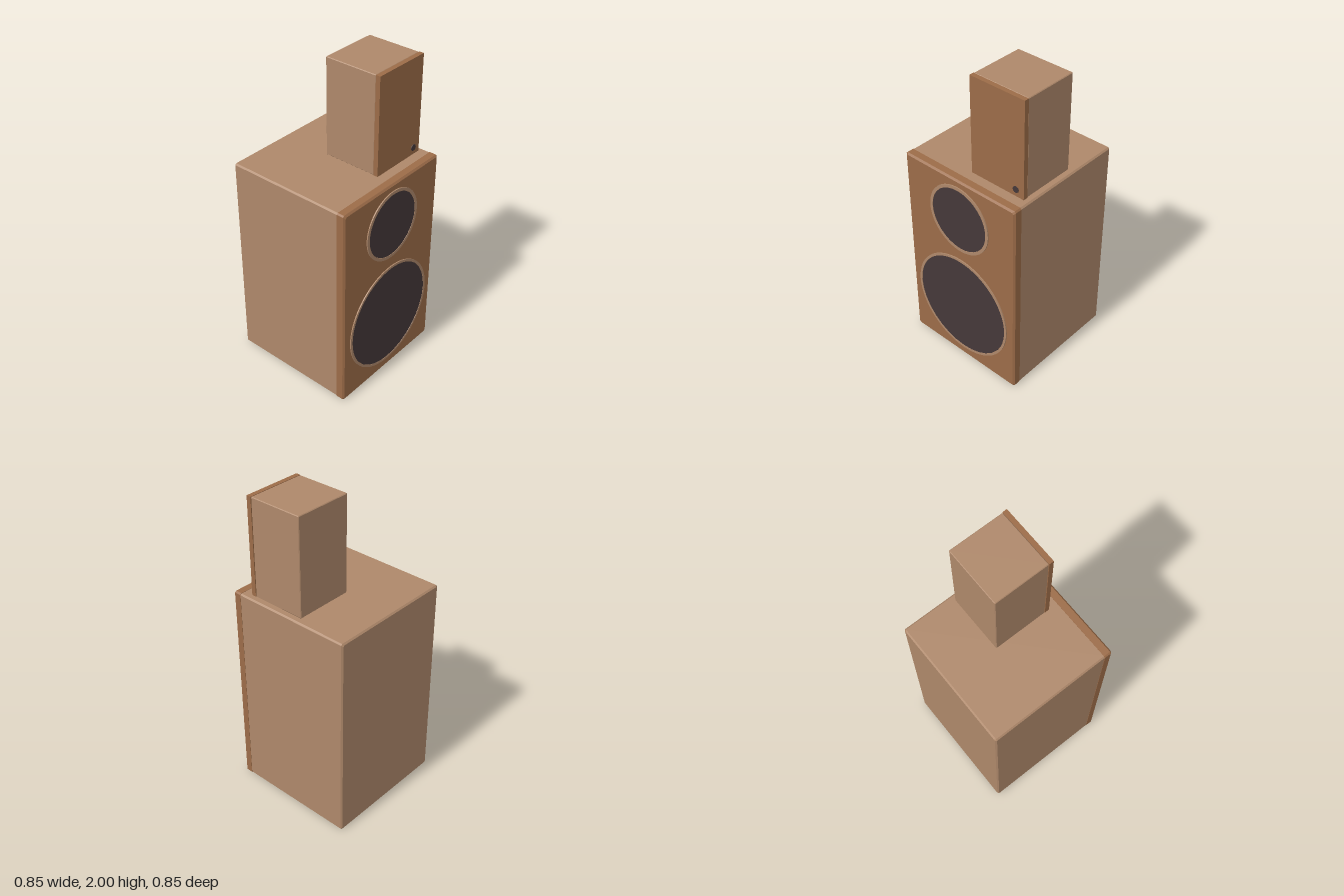
import * as THREE from 'three';

const paint = (color) => new THREE.MeshStandardMaterial({ color });
const lightWood = paint(0xae886a);
const darkWood = paint(0x9c6c48);
const coneGrey = paint(0x453839);

// Box with cut corners, lofted along z; each section is [z, inset]
function chamferBox(x0, x1, y0, y1, cut, sections) {
  const rings = sections.map(([z, inset]) => {
    const l = x0 + inset, r = x1 - inset, b = y0 + inset, t = y1 - inset;
    return [
      [r, b + cut, z], [r, t - cut, z], [r - cut, t, z], [l + cut, t, z],
      [l, t - cut, z], [l, b + cut, z], [l + cut, b, z], [r - cut, b, z],
    ];
  });
  const pos = [];
  const tri = (a, b, c) => pos.push(...a, ...b, ...c);
  for (let k = 0; k + 1 < rings.length; k++) {
    const A = rings[k], B = rings[k + 1];
    for (let i = 0; i < 8; i++) {
      const j = (i + 1) % 8;
      tri(A[i], A[j], B[j]);
      tri(A[i], B[j], B[i]);
    }
  }
  const back = rings[0], front = rings[rings.length - 1];
  for (let i = 1; i < 7; i++) {
    tri(back[0], back[i + 1], back[i]);
    tri(front[0], front[i], front[i + 1]);
  }
  const geo = new THREE.BufferGeometry();
  geo.setAttribute('position', new THREE.Float32BufferAttribute(pos, 3));
  geo.computeVertexNormals();
  return geo;
}

// Short disc facing the front
function disc(radius, x, y, z0, z1, segments = 32) {
  return new THREE.CylinderGeometry(radius, radius, z1 - z0, segments)
    .rotateX(Math.PI / 2)
    .translate(x, y, (z0 + z1) / 2);
}

// Flat ring with thickness, facing the front
function ring(outer, inner, y, z0, z1) {
  const shape = new THREE.Shape().absarc(0, 0, outer, 0, Math.PI * 2);
  shape.holes.push(new THREE.Path().absarc(0, 0, inner, 0, Math.PI * 2, true));
  return new THREE.ExtrudeGeometry(shape, { depth: z1 - z0, bevelEnabled: false, curveSegments: 32 })
    .translate(0, y, z0);
}

export function createModel() {
  const model = new THREE.Group();
  model.name = 'stackedSpeakers';
  const add = (name, geometry, material) => {
    const mesh = new THREE.Mesh(geometry, material);
    mesh.name = name;
    model.add(mesh);
  };

  // Large cabinet and its front baffle
  add('cabinet', chamferBox(-0.422, 0.422, 0.002, 1.372, 0.009,
    [[-0.423, 0.009], [-0.414, 0], [0.361, 0]]), lightWood);
  add('frontBaffle', chamferBox(-0.424, 0.424, 0, 1.374, 0.009,
    [[0.361, 0], [0.405, 0], [0.415, 0.011]]), darkWood);

  // Two drivers: rim and cone
  for (const [name, y, outer, inner] of [['woofer', 0.43, 0.366, 0.35], ['midrange', 1.1, 0.23, 0.21]]) {
    add(name + 'Rim', ring(outer, inner, y, 0.41, 0.422), lightWood);
    add(name + 'Cone', disc(inner, 0, y, 0.41, 0.42), coneGrey);
  }

  // Small box on top with its front panel
  add('topBox', chamferBox(0.001, 0.384, 1.373, 2, 0.004,
    [[-0.084, 0.004], [-0.08, 0], [0.266, 0], [0.27, 0.004]]), lightWood);
  add('topPanel', new THREE.BoxGeometry(0.386, 0.626, 0.03).translate(0.193, 1.687, 0.285), darkWood);
  add('topKnob', disc(0.02, 0.33, 1.42, 0.29, 0.305, 20), coneGrey);

  return model;
}
